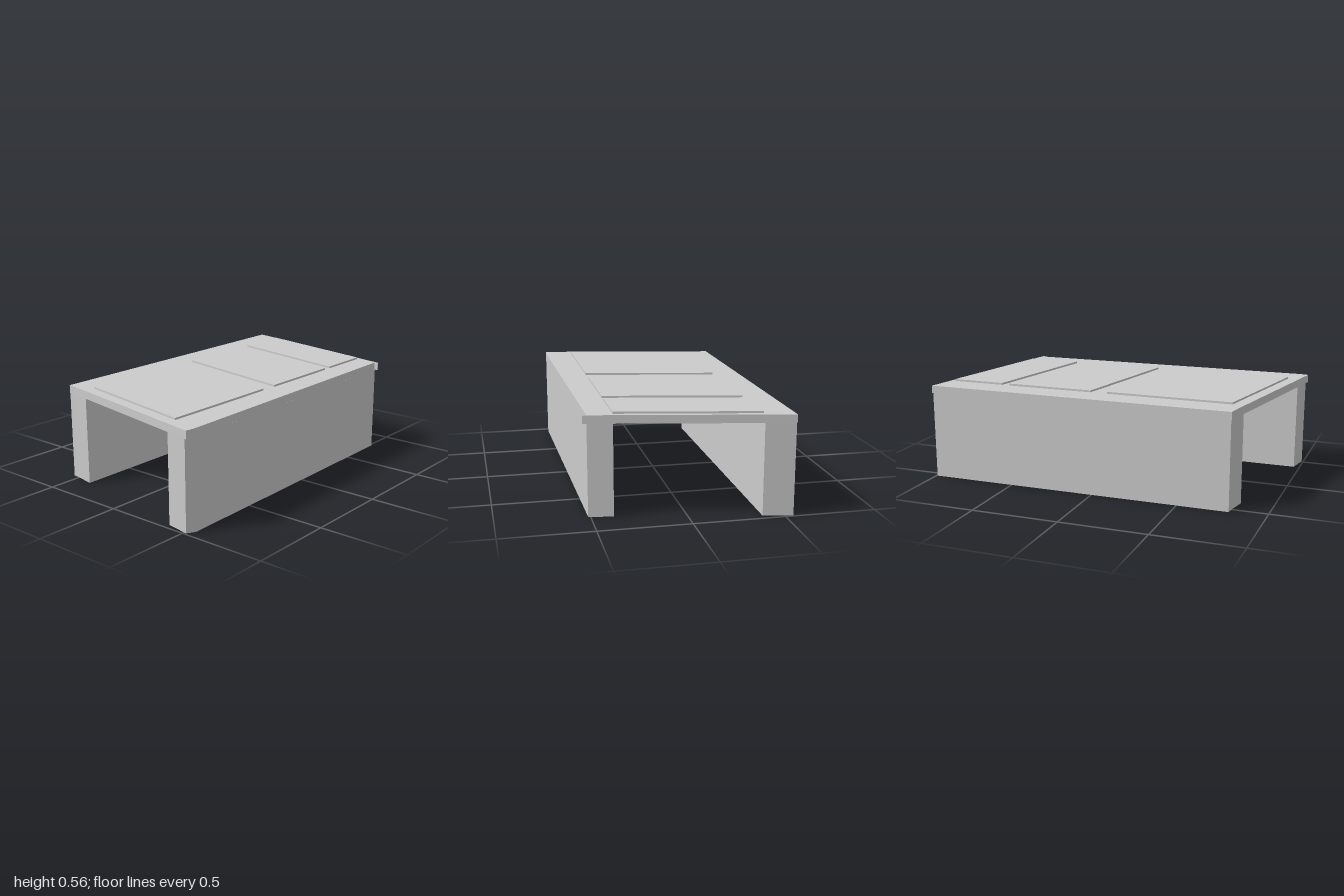
import * as THREE from 'three';

const SKEW = 0.195; // both ends slant in plan by this slope

export function createModel() {
  const group = new THREE.Group();
  const material = new THREE.MeshStandardMaterial({ color: 0xcccccc, flatShading: true });

  // Prism from a plan outline of [x, z] points, between two heights
  function addPrism(name, plan, bottom, top) {
    const shape = new THREE.Shape(plan.map(([x, z]) => new THREE.Vector2(x, -z)));
    const geometry = new THREE.ExtrudeGeometry(shape, { depth: top - bottom, bevelEnabled: false });
    geometry.rotateX(-Math.PI / 2).translate(0, bottom, 0);
    const mesh = new THREE.Mesh(geometry, material);
    mesh.name = name;
    group.add(mesh);
  }

  // Side walls: the left one tapers in plan and has a chamfered front corner
  addPrism('rightWall', [
    [-0.545, -0.993], [-0.385, -0.963], [-0.385, 0.82], [-0.5, 0.798], [-0.545, 0.793],
  ], 0, 0.505);
  addPrism('leftWall', [
    [0.38, -0.815], [0.513, -0.789], [0.543, 0.945], [0.517, 0.99], [0.38, 0.966],
  ], 0, 0.505);

  // Roof slab with a small lip at the back left corner
  addPrism('roofSlab', [
    [-0.545, -1], [0.535, -0.79], [0.535, -0.78], [0.513, -0.784],
    [0.543, 0.95], [0.535, 1], [-0.5, 0.8], [-0.545, 0.795],
  ], 0.505, 0.55);

  // Raised roof panels, given by their z range on the centre line
  [[-0.865, -0.552], [-0.505, 0.008], [0.11, 0.832]].forEach(([z0, z1], i) => {
    const a = -0.382, b = 0.378;
    addPrism(`roofPanel${i + 1}`, [
      [a, z0 + a * SKEW], [b, z0 + b * SKEW], [b, z1 + b * SKEW], [a, z1 + a * SKEW],
    ], 0.55, 0.561);
  });

  return group;
}
